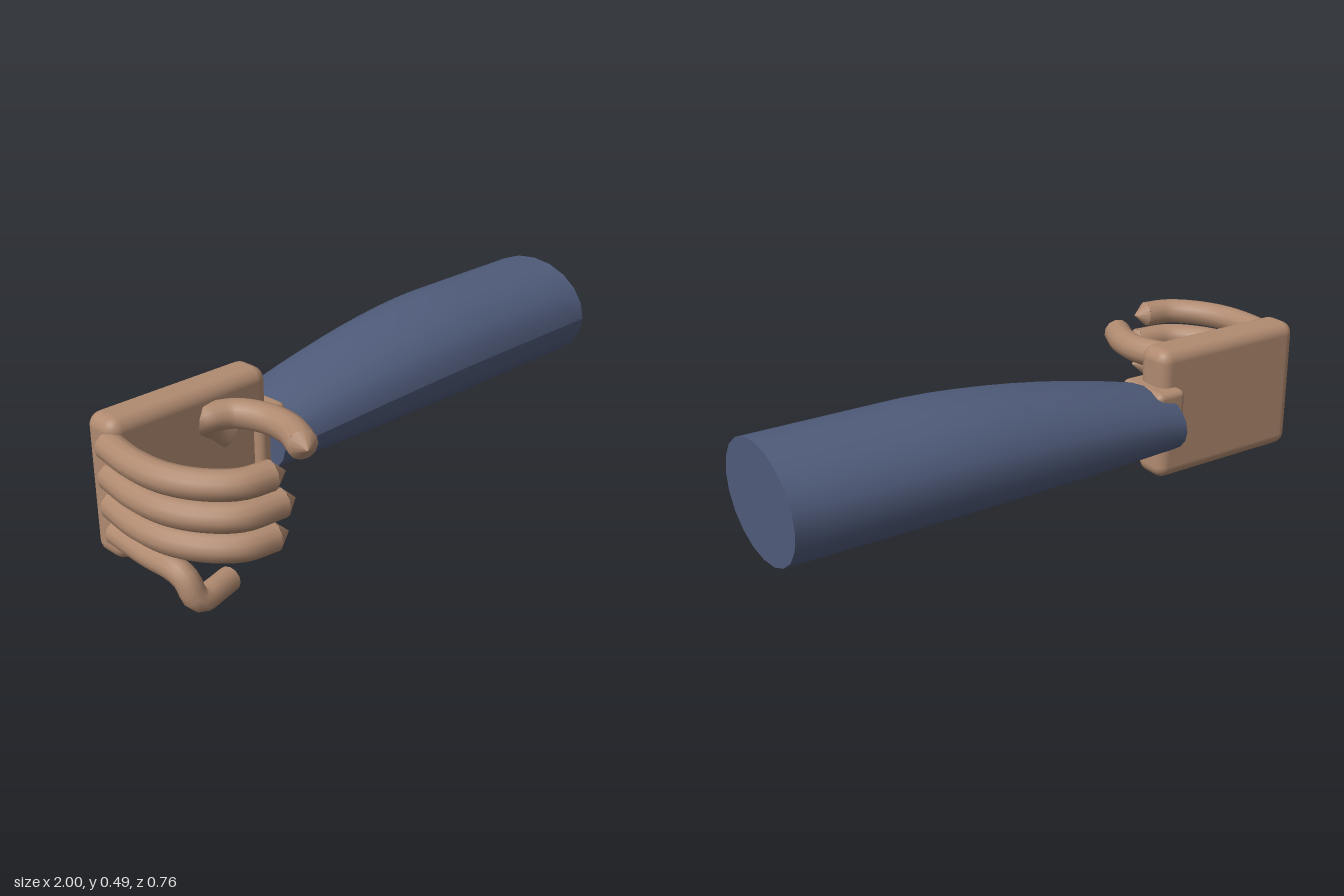
import * as THREE from 'three';
import { RoundedBoxGeometry } from 'three/addons/geometries/RoundedBoxGeometry.js';

export function createModel() {
  const model = new THREE.Group();
  model.name = 'armAndHand';
  const skin = new THREE.MeshStandardMaterial({ color: 0xb08a70 });
  skin.name = 'skin';
  const sleeveBlue = new THREE.MeshStandardMaterial({ color: 0x4f5b7a });
  sleeveBlue.name = 'sleeve blue';

  const add = (name, geometry, material, parent = model) => {
    const mesh = new THREE.Mesh(geometry, material);
    mesh.name = name;
    parent.add(mesh);
    return mesh;
  };

  // Sleeve: elliptical cylinder along x, tapering to the wrist over a level underside
  const sleeve = new THREE.CylinderGeometry(1, 1, 1.4, 20, 16);
  sleeve.rotateZ(-Math.PI / 2).translate(0.3, 0, 0);
  const p = sleeve.attributes.position;
  for (let i = 0; i < p.count; i++) {
    const u = THREE.MathUtils.clamp((0.5 - p.getX(i)) / 0.9, 0, 1) ** 1.7;
    const top = 0.49 - 0.145 * u;
    const bottom = 0.13 + 0.005 * u;
    const y = (top + bottom) / 2 + p.getY(i) * (top - bottom) / 2;
    p.setXYZ(i, p.getX(i), y, -0.148 + p.getZ(i) * (0.235 - 0.073 * u));
  }
  sleeve.computeVertexNormals();
  add('sleeve', sleeve, sleeveBlue);

  // Palm and wrist
  const block = (name, size, centre, radius) =>
    add(name, new RoundedBoxGeometry(...size, 4, radius), skin).position.set(...centre);
  block('palm', [0.58, 0.45, 0.13], [-0.66, 0.257, -0.148], 0.042);
  block('wrist', [0.11, 0.205, 0.2], [-0.383, 0.257, -0.152], 0.02);

  // Finger: a bent tube closed by a short cone at each end
  const finger = (name, points, radius, tip = 0.045) => {
    const group = new THREE.Group();
    group.name = name;
    model.add(group);
    const path = new THREE.CatmullRomCurve3(points.map((q) => new THREE.Vector3(...q)));
    add(name + 'Tube', new THREE.TubeGeometry(path, 28, radius, 12), skin, group);
    for (const end of [0, 1]) {
      const direction = path.getTangent(end).multiplyScalar(end ? 1 : -1);
      const cone = new THREE.ConeGeometry(radius, tip, 12, 1, true);
      cone.translate(0, tip / 2, 0);
      const mesh = add(name + (end ? 'Tip' : 'Root'), cone, skin, group);
      mesh.quaternion.setFromUnitVectors(new THREE.Vector3(0, 1, 0), direction);
      mesh.position.copy(path.getPoint(end));
    }
  };

  // Three curled fingers share one path at different heights and lengths
  const curled = [['indexFinger', 0.4, -0.735], ['middleFinger', 0.304, -0.7], ['ringFinger', 0.212, -0.73]];
  for (const [name, y, endX] of curled) {
    finger(name, [
      [-0.935, y, -0.12], [-0.955, y, 0.03], [-0.943, y, 0.155],
      [-0.895, y, 0.255], [-0.825, y, 0.32], [endX, y, 0.338],
    ], 0.044);
  }

  // Little finger drops at the knuckle and then turns inward
  finger('littleFinger', [
    [-0.935, 0.123, -0.12], [-0.945, 0.123, 0.05], [-0.943, 0.123, 0.17], [-0.938, 0.105, 0.205],
    [-0.926, 0.055, 0.225], [-0.905, 0.04, 0.23], [-0.86, 0.04, 0.22], [-0.785, 0.04, 0.2],
  ], 0.038, 0.035);

  // Thumb rises across the palm and hooks forward
  finger('thumb', [
    [-0.53, 0.3, -0.11], [-0.585, 0.35, -0.11], [-0.615, 0.383, -0.095], [-0.535, 0.392, -0.045],
    [-0.492, 0.392, 0.06], [-0.5, 0.392, 0.16], [-0.54, 0.392, 0.25],
  ], 0.047);

  return model;
}
